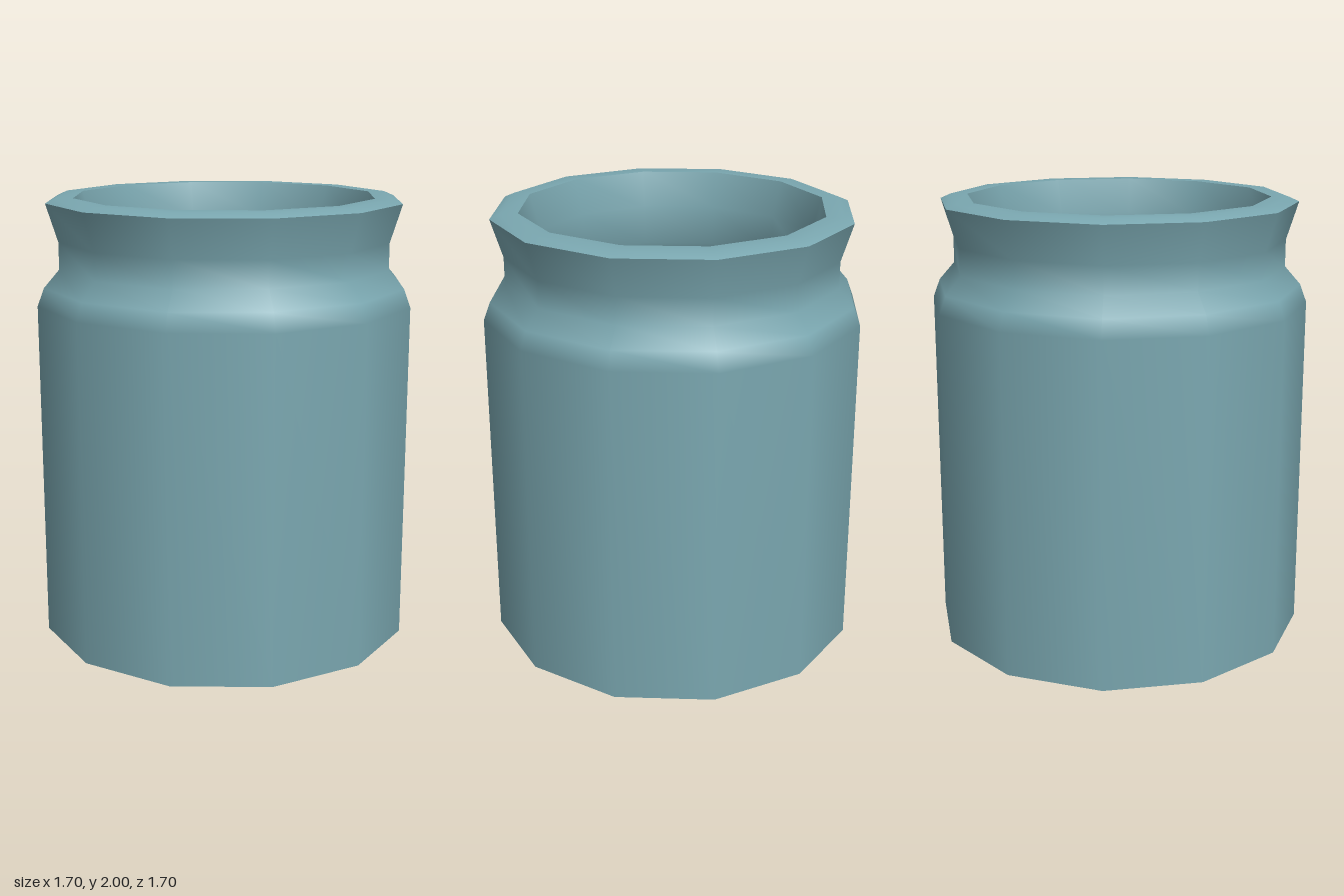
import * as THREE from 'three';

const SIDES = 12;
const LIQUID_LEVEL = 1.1;

export function createModel() {
  const model = new THREE.Group();
  model.name = 'jar';
  const clay = new THREE.MeshStandardMaterial({ color: 0x7aa7b0 });
  const green = new THREE.MeshStandardMaterial({ color: 0x56762f });

  // Each section is its own lathe, so the edges between sections stay sharp
  function turned(name, profile, material = clay) {
    const points = profile.map(([r, y]) => new THREE.Vector2(r, y));
    const mesh = new THREE.Mesh(new THREE.LatheGeometry(points, SIDES), material);
    mesh.name = name;
    model.add(mesh);
  }

  // Flat underside
  turned('base', [[0, 0], [0.85, 0]]);

  // Straight body, rounded shoulder, neck and flared lip
  turned('outerWall', [
    [0.85, 0], [0.85, 1.53], [0.82, 1.61], [0.75, 1.69], [0.75, 1.81], [0.803, 1.98],
  ]);

  // Slightly bevelled top of the lip
  turned('rim', [[0.803, 1.98], [0.757, 2], [0.68, 2]]);

  // Inside of the lip, neck and shoulder, down to the contents
  turned('innerWall', [
    [0.68, 2], [0.635, 1.84], [0.635, 1.66], [0.7, 1.57], [0.735, 1.49], [0.735, LIQUID_LEVEL],
  ]);

  // Contents
  turned('liquid', [[0.735, LIQUID_LEVEL], [0, LIQUID_LEVEL]], green);

  return model;
}
